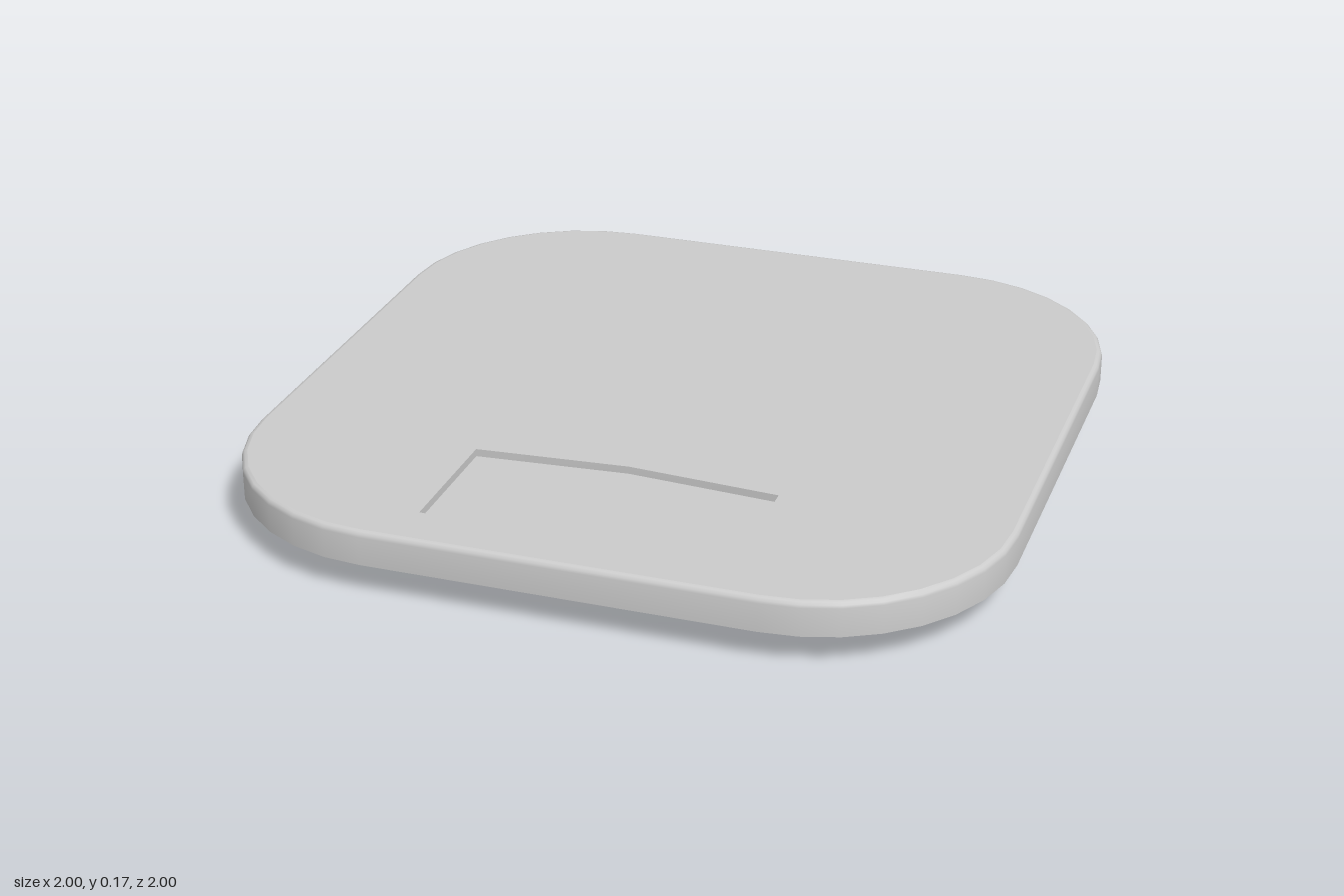
import * as THREE from 'three';
import { toCreasedNormals } from 'three/addons/utils/BufferGeometryUtils.js';

const material = new THREE.MeshStandardMaterial({ color: 0xcccccc });
const BOTTOM = 0.085, TOP = 0.175, BEVEL = 0.015, DEPTH = 0.02;

// Rounded square, counter-clockwise seen from above, as (x, -z) points
function roundedOutline(inset) {
  const points = [], segments = 8;
  for (let corner = 0; corner < 4; corner++) {
    const start = corner * Math.PI / 2, mid = start + Math.PI / 4;
    for (let i = 0; i <= segments; i++) {
      const a = start + (i / segments) * Math.PI / 2, r = 0.5 - inset;
      points.push(new THREE.Vector2(
        0.5 * Math.sign(Math.cos(mid)) + r * Math.cos(a),
        0.5 * Math.sign(Math.sin(mid)) + r * Math.sin(a)));
    }
  }
  return points;
}

// Wall joining closed outlines; each ring is { points, y }
function wall(rings) {
  const positions = [], index = [], n = rings[0].points.length;
  for (const { points, y } of rings) for (const p of points) positions.push(p.x, y, -p.y);
  for (let j = 0; j < rings.length - 1; j++) {
    for (let i = 0; i < n; i++) {
      const a = j * n + i, b = j * n + (i + 1) % n;
      index.push(a, b, b + n, a, b + n, a + n);
    }
  }
  const geometry = new THREE.BufferGeometry();
  geometry.setAttribute('position', new THREE.Float32BufferAttribute(positions, 3));
  geometry.setIndex(index);
  return toCreasedNormals(geometry, 0.6);
}

// Flat face lying at height y, facing up or down
function flat(points, y, hole, down = false) {
  const shape = new THREE.Shape(points);
  if (hole) shape.holes.push(new THREE.Path(hole));
  const geometry = new THREE.ShapeGeometry(shape);
  geometry.rotateX(down ? Math.PI / 2 : -Math.PI / 2);
  return geometry.translate(0, y, 0);
}

export function createModel() {
  const model = new THREE.Group();
  const add = (name, geometry, parent = model) => {
    const mesh = new THREE.Mesh(geometry, material);
    mesh.name = name;
    parent.add(mesh);
    return mesh;
  };

  // Slab with a softly rounded upper rim
  const slab = new THREE.Group();
  slab.name = 'slab';
  model.add(slab);
  const rings = [{ points: roundedOutline(0), y: BOTTOM }];
  for (let i = 0; i <= 3; i++) {
    const a = (i / 3) * Math.PI / 2;
    rings.push({
      points: roundedOutline(BEVEL * (1 - Math.cos(a))),
      y: TOP - BEVEL + BEVEL * Math.sin(a),
    });
  }
  const recess = [[-0.4, -0.86], [0, -0.89], [0.4, -0.86], [0.4, -0.5], [0, -0.47], [-0.4, -0.5]]
    .map(([x, y]) => new THREE.Vector2(x, y));
  add('slabRim', wall(rings), slab);
  add('slabTop', flat(roundedOutline(BEVEL), TOP, recess), slab);
  add('slabUnderside', flat(roundedOutline(0), BOTTOM, null, true), slab);

  // Shallow recess near the front edge
  add('recessWalls', wall([{ points: recess, y: TOP }, { points: recess, y: TOP - DEPTH }]), slab);
  add('recessFloor', flat(recess, TOP - DEPTH), slab);

  // Four round feet
  for (const x of [-0.5, 0.5]) {
    for (const z of [-0.5, 0.5]) {
      const foot = add('foot', new THREE.CylinderGeometry(0.093, 0.093, BOTTOM, 32));
      foot.position.set(x, BOTTOM / 2, z);
    }
  }
  return model;
}
